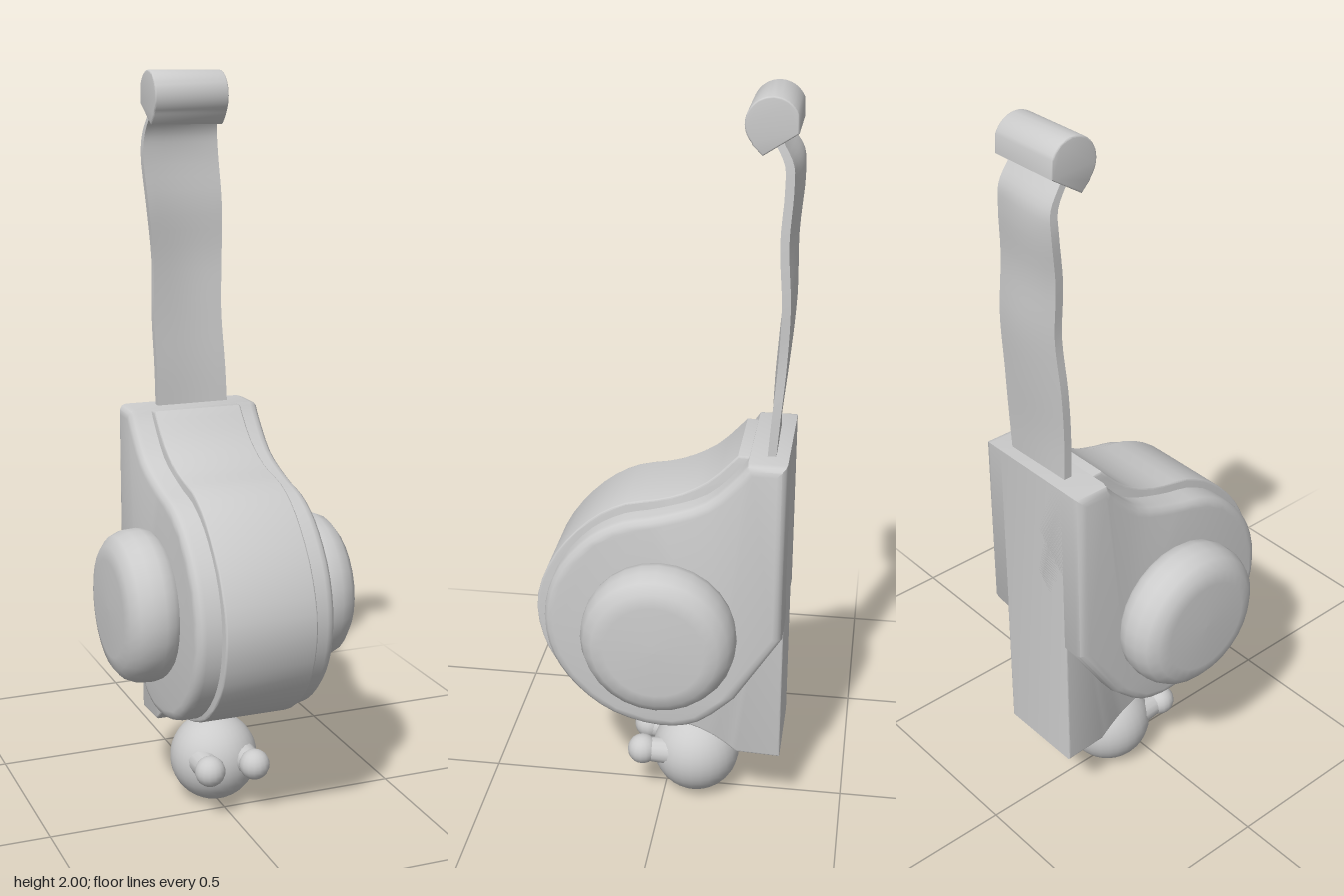
import * as THREE from 'three';
import { toCreasedNormals } from 'three/addons/utils/BufferGeometryUtils.js';

const material = new THREE.MeshStandardMaterial({ color: 0xcccccc, side: THREE.DoubleSide });

function add(parent, name, geometry, x = 0, y = 0, z = 0) {
  const mesh = new THREE.Mesh(geometry, material);
  mesh.name = name;
  mesh.position.set(x, y, z);
  parent.add(mesh);
  return mesh;
}

// Side profile: a smooth run of [z, y] points, closed by straight corners
function profile(curve, corners) {
  const spline = new THREE.SplineCurve(curve.map(p => new THREE.Vector2(...p)));
  return new THREE.Shape([...spline.getPoints(40), ...corners.map(p => new THREE.Vector2(...p))]);
}

// Extrude a [z, y] profile across x, from x0 to x1, with rounded rims
function slab(shape, x0, x1, bevel) {
  const g = new THREE.ExtrudeGeometry(shape, {
    depth: x1 - x0 - 2 * bevel, bevelEnabled: bevel > 0, bevelSize: bevel,
    bevelThickness: bevel, bevelOffset: -bevel, bevelSegments: 3,
  });
  g.rotateY(-Math.PI / 2);
  g.translate(x1 - bevel, 0, 0);
  return toCreasedNormals(g, 0.7);
}

export function createModel() {
  const model = new THREE.Group();
  model.name = 'reelWithStrap';

  // Wide housing, tapering off at the lower back
  const housing = profile(
    [[-0.23, 1.1], [-0.2, 1.06], [-0.12, 0.985], [0, 0.94], [0.1, 0.915], [0.19, 0.86], [0.27, 0.76],
      [0.305, 0.64], [0.29, 0.52], [0.23, 0.42], [0.13, 0.34], [0, 0.305], [-0.11, 0.325], [-0.21, 0.41]],
    [[-0.33, 0.6], [-0.33, 1.1]]);
  add(model, 'housing', slab(housing, -0.19, 0.19, 0.025));

  // Raised middle band that runs down into the narrow foot
  const band = profile(
    [[-0.2, 1.1], [-0.12, 1.02], [-0.02, 0.97], [0.1, 0.943], [0.2, 0.88], [0.29, 0.77], [0.335, 0.64],
      [0.315, 0.51], [0.25, 0.41], [0.15, 0.335], [0.02, 0.295], [-0.08, 0.28], [-0.15, 0.25], [-0.21, 0.205]],
    [[-0.33, 0.2], [-0.33, 1.095]]);
  add(model, 'middleBand', slab(band, -0.125, 0.125, 0.005));

  // Round side knobs
  const rim = [[0, 0.325], [0.13, 0.323], [0.165, 0.315], [0.19, 0.295], [0.203, 0.265],
    [0.205, 0.23], [0.2, 0.205], [0.185, 0.188], [0.17, 0.17]].reverse().map(p => new THREE.Vector2(...p));
  for (const [name, side] of [['leftKnob', 1], ['rightKnob', -1]]) {
    const knob = add(model, name, new THREE.LatheGeometry(rim, 28), 0, 0.622, -0.012);
    knob.rotation.z = -side * Math.PI / 2;
  }

  // Ball with two small bumps on short stalks
  add(model, 'ball', new THREE.SphereGeometry(0.122, 28, 20), 0, 0.127, -0.085);
  for (const s of [1, -1]) {
    add(model, s > 0 ? 'leftBump' : 'rightBump', new THREE.SphereGeometry(0.042, 16, 12), s * 0.065, 0.148, 0.06);
    const stalk = add(model, s > 0 ? 'leftStalk' : 'rightStalk',
      new THREE.CylinderGeometry(0.033, 0.04, 0.09, 14), s * 0.06, 0.145, 0.015);
    stalk.rotation.x = Math.PI / 2;
  }

  // Thin strap with a slight wave: box rows moved to [y, left x, right x, z]
  const rows = [[1.07, 0.115, -0.09, -0.283], [1.2, 0.112, -0.093, -0.287], [1.35, 0.105, -0.097, -0.297],
    [1.5, 0.108, -0.092, -0.305], [1.65, 0.105, -0.105, -0.302], [1.78, 0.097, -0.113, -0.313],
    [1.84, 0.093, -0.108, -0.31], [1.9, 0.085, -0.1, -0.275]];
  const path = new THREE.CatmullRomCurve3(rows.map(r => new THREE.Vector3(0, r[0], r[3])));
  const edges = [1, 2].map(k => new THREE.CatmullRomCurve3(rows.map(r => new THREE.Vector3(r[k], r[0], 0))));
  const strap = new THREE.BoxGeometry(1, 1, 1, 8, 28, 1);
  const pos = strap.attributes.position;
  for (let i = 0; i < pos.count; i++) {
    const u = pos.getX(i) + 0.5, t = pos.getY(i) + 0.5;
    const p = path.getPoint(t);
    const x = THREE.MathUtils.lerp(edges[1].getPoint(t).x, edges[0].getPoint(t).x, u);
    const curl = 0.014 * Math.sin(t * Math.PI) * Math.cos(u * Math.PI + t * 3);
    pos.setXYZ(i, x, p.y, p.z + curl + pos.getZ(i) * 0.022);
  }
  add(model, 'strap', toCreasedNormals(strap, 0.7));

  // Rolled grip at the strap's end, with a squared-off lower back
  const grip = new THREE.Shape();
  grip.moveTo(-0.325, 1.915);
  grip.lineTo(-0.24, 1.86);
  grip.lineTo(-0.215, 1.885);
  grip.absarc(-0.262, 1.935, 0.066, -0.75, 2.75, false);
  add(model, 'grip', slab(grip, -0.115, 0.09, 0.004));

  return model;
}
